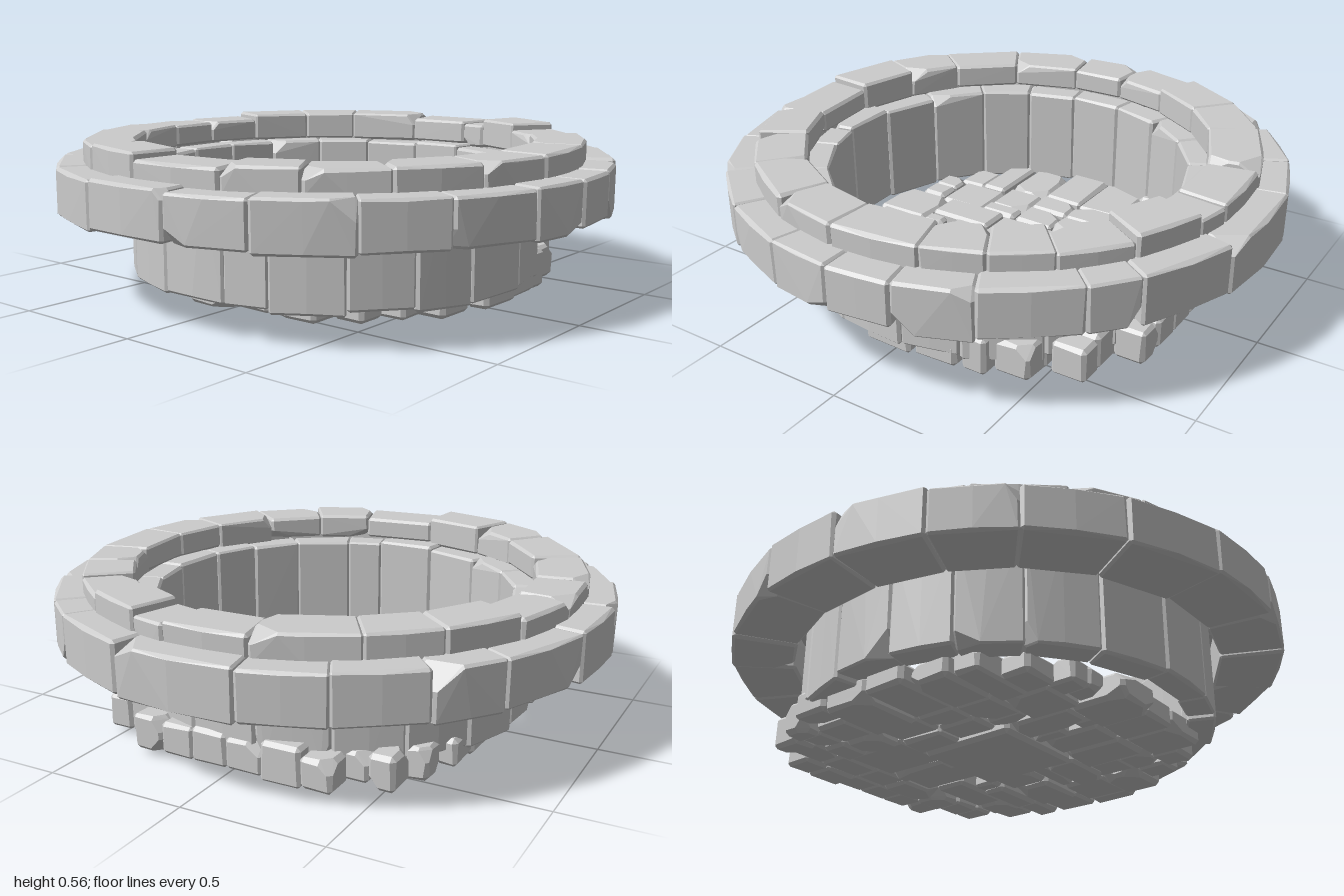
import * as THREE from 'three';
import { ConvexGeometry } from 'three/addons/geometries/ConvexGeometry.js';

const stoneMat = new THREE.MeshStandardMaterial({ color: 0xcccccc, flatShading: true });

// Small seeded generator
let seed = 11;
const rnd = (a = 0, b = 1) => {
  seed = (seed * 1664525 + 1013904223) % 4294967296;
  return a + (b - a) * seed / 4294967296;
};

// Points of a bevelled box; some corners are knocked off at an angle
function wornBox(w, h, d, bevel, chipChance) {
  const points = [], half = [w / 2, h / 2, d / 2];
  for (const sx of [-1, 1]) for (const sy of [-1, 1]) for (const sz of [-1, 1]) {
    const s = [sx, sy, sz];
    const b = Math.min(bevel * rnd(0.6, 1.1), Math.min(...half) * 0.4);
    const chipped = rnd() < chipChance;
    for (let k = 0; k < 3; k++) {
      const cut = chipped ? Math.min(rnd(0.03, 0.09), half[k] * 0.8) : b;
      for (const full of [(k + 1) % 3, (k + 2) % 3]) {
        const p = half.map((v, i) => s[i] * (i === full ? v : i === k ? v - cut : v - b));
        points.push(new THREE.Vector3(...p));
      }
    }
  }
  return points;
}

function addStone(group, name, points) {
  const mesh = new THREE.Mesh(new ConvexGeometry(points), stoneMat);
  mesh.name = name;
  group.add(mesh);
}

// Ring of wedge stones between joint angles (degrees, from +x towards +z)
function stoneRing(name, joints, inner, outer, bottom, top, chips) {
  const ring = new THREE.Group();
  ring.name = name;
  joints.forEach((start, i) => {
    const end = i + 1 < joints.length ? joints[i + 1] : joints[0] + 360;
    const a0 = THREE.MathUtils.degToRad(start), a1 = THREE.MathUtils.degToRad(end);
    const y0 = rnd(...bottom), y1 = rnd(...top);
    const rMid = (inner + outer) / 2, depth = outer - inner, push = rnd(-0.003, 0.003);
    const length = (a1 - a0) * rMid, h = y1 - y0;
    const points = wornBox(length, h, depth, 0.01, chips);
    // slight swell in the middle of the outer face
    for (const s of [-1, 1]) points.push(new THREE.Vector3(0, s * (h / 2 - 0.01), depth / 2 - 0.004));
    addStone(ring, name + 'Stone', points.map(p => {
      const a = (a0 + a1) / 2 + p.x / rMid, r = rMid + p.z + push;
      return new THREE.Vector3(Math.cos(a) * r, (y0 + y1) / 2 + p.y, Math.sin(a) * r);
    }));
  });
  return ring;
}

// Floor courses: z start, z end, then x of the joints
const courses = [
  // back
  [-0.75, -0.64, -0.38, -0.27, -0.13, 0.0, 0.13, 0.25, 0.36],
  [-0.64, -0.52, -0.54, -0.45, -0.31, -0.13, 0.02, 0.22, 0.34, 0.46, 0.55],
  [-0.52, -0.26, -0.28, -0.06, 0.02, 0.16],
  [-0.49, -0.36, 0.17, 0.43, 0.54, 0.64],
  [-0.35, -0.26, 0.24, 0.3, 0.52, 0.68],
  [-0.52, -0.42, -0.6, -0.52, -0.41, -0.28],
  [-0.41, -0.27, -0.65, -0.55, -0.41, -0.28],
  // left and right of the central slab
  [-0.26, -0.08, -0.65, -0.4, -0.28, -0.17],
  [-0.08, 0.08, -0.65, -0.4, -0.29, -0.17],
  [0.09, 0.24, -0.62, -0.4, -0.24, -0.17],
  [-0.25, -0.09, 0.22, 0.36, 0.56, 0.7],
  [-0.08, -0.01, 0.22, 0.46],
  [0.0, 0.13, 0.22, 0.46],
  [-0.08, 0.1, 0.46, 0.64, 0.72],
  [0.1, 0.25, 0.34, 0.46, 0.65],
  // centre
  [-0.25, 0.13, -0.17, 0.21],
  // front
  [0.13, 0.38, -0.17, -0.04],
  [0.13, 0.26, -0.04, 0.02],
  [0.13, 0.37, 0.02, 0.16, 0.33],
  [0.31, 0.39, -0.04, 0.02],
  [0.25, 0.37, 0.34, 0.47, 0.58],
  [0.37, 0.48, 0.38, 0.5],
  [0.24, 0.43, -0.35, -0.17],
  [0.25, 0.35, -0.6, -0.35],
  [0.35, 0.46, -0.49, -0.35],
  [0.43, 0.53, -0.35, -0.26, -0.17],
  [0.39, 0.6, -0.17, 0.02],
  [0.38, 0.57, 0.02, 0.18, 0.38],
];

function pavedFloor() {
  const floor = new THREE.Group();
  floor.name = 'floor';
  for (const [z0, z1, ...xs] of courses) {
    for (let i = 0; i + 1 < xs.length; i++) {
      const w = xs[i + 1] - xs[i], d = z1 - z0, x = (xs[i] + xs[i + 1]) / 2, z = (z0 + z1) / 2;
      // taller stones stand along the back edge
      const raised = z < -0.3 && Math.hypot(x, z) > 0.62;
      const y0 = w > 0.3 ? 0 : rnd(0.005, 0.025), y1 = raised ? rnd(0.12, 0.15) : rnd(0.09, 0.105);
      const centre = new THREE.Vector3(x, (y0 + y1) / 2, z);
      const points = wornBox(w + 0.004, y1 - y0, d + 0.004, 0.015, w > 0.3 ? 0 : 0.15);
      addStone(floor, 'floorSlab', points.map(p => p.add(centre)));
    }
  }
  return floor;
}

export function createModel() {
  seed = 11;
  const basin = new THREE.Group();
  basin.name = 'stoneBasin';

  // Wide outer band
  basin.add(stoneRing('outerRim',
    [0, 13.6, 31, 47, 65, 81, 101, 121, 140, 156, 174, 192, 212, 226, 243, 259, 284, 304, 314, 332.5, 347],
    0.775, 1.0, [0.295, 0.312], [0.465, 0.48], 0.13));

  // Coping course on top
  basin.add(stoneRing('coping',
    [4, 21, 40, 57, 73, 95, 114, 130, 150, 170, 186, 203, 221, 237, 258.5, 277.7, 286, 302, 318, 331, 344],
    0.72, 0.9, [0.44, 0.455], [0.53, 0.558], 0.13));

  // Upright basin wall
  basin.add(stoneRing('wall',
    [-5, 15, 31, 48, 67, 79, 99, 119, 138, 155, 172, 190, 207, 225, 243, 262, 280, 300, 318, 339],
    0.645, 0.745, [0.055, 0.09], [0.44, 0.455], 0.1));

  basin.add(pavedFloor());
  return basin;
}
